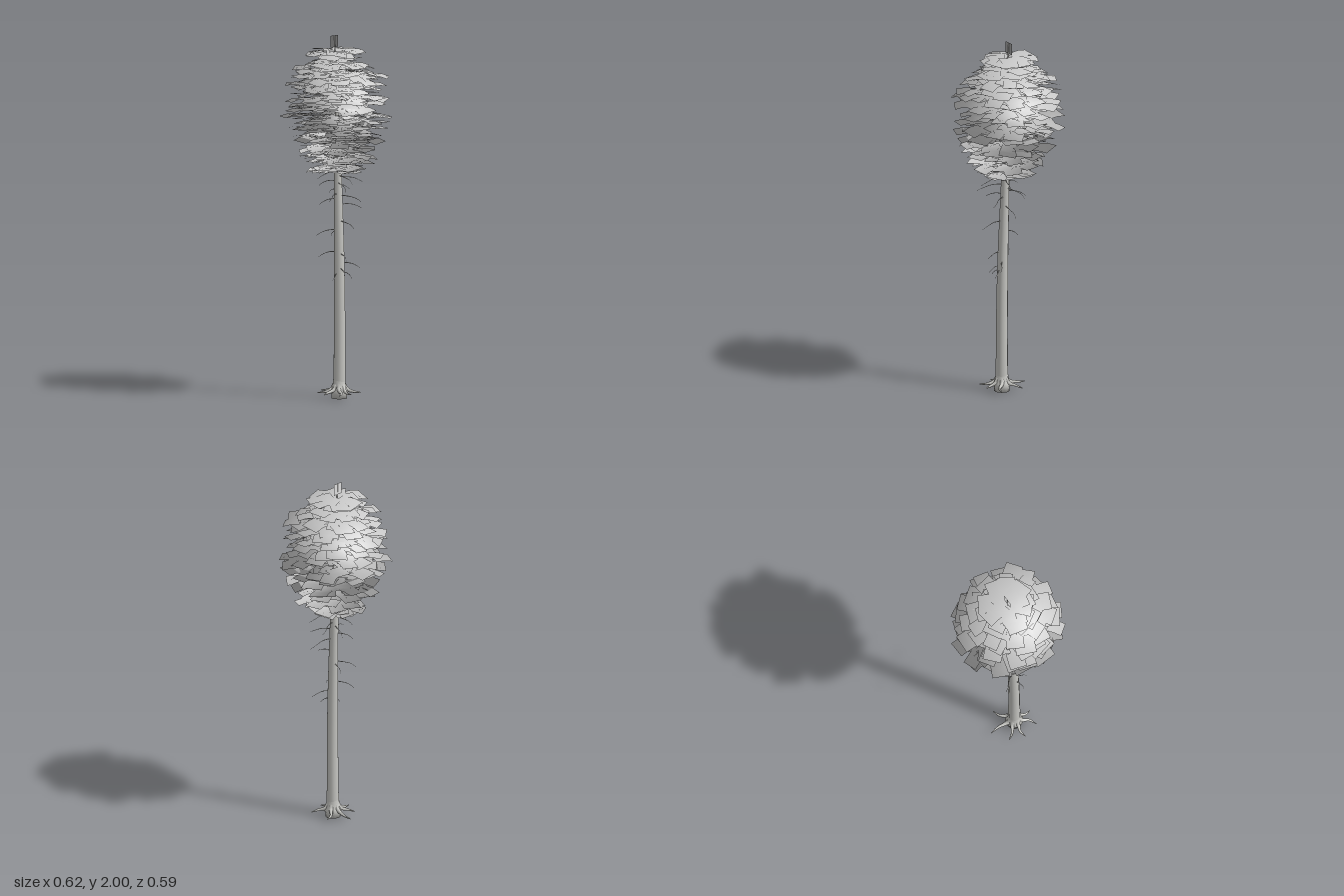
import * as THREE from 'three';
import { mergeGeometries } from 'three/addons/utils/BufferGeometryUtils.js';

const bark = new THREE.MeshStandardMaterial({ color: 0xc8c8c4 });
const foliage = new THREE.MeshStandardMaterial({ color: 0xc8c8c8, side: THREE.DoubleSide });
bark.name = 'bark';
foliage.name = 'foliage';

let seed;
const rand = (a, b) => {
  seed = (seed * 16807) % 2147483647;
  return a + (b - a) * (seed / 2147483647);
};
const V = (x, y, z) => new THREE.Vector3(x, y, z);

// Round limb along a curve, its radius interpolated from a list
function limb(points, radii, segments, sides) {
  const curve = new THREE.CatmullRomCurve3(points);
  const geo = new THREE.TubeGeometry(curve, segments, 1, sides, false);
  const pos = geo.attributes.position;
  const p = V(0, 0, 0);
  for (let i = 0; i <= segments; i++) {
    const t = (i / segments) * (radii.length - 1);
    const k = Math.min(Math.floor(t), radii.length - 2);
    const r = THREE.MathUtils.lerp(radii[k], radii[k + 1], t - k);
    const c = curve.getPointAt(i / segments);
    for (let j = 0; j <= sides; j++) {
      const n = i * (sides + 1) + j;
      p.fromBufferAttribute(pos, n).sub(c).multiplyScalar(r).add(c);
      pos.setXYZ(n, p.x, p.y, p.z);
    }
  }
  return geo;
}

// Trunk centre line, leaning slightly as it rises
const trunkLine = new THREE.CatmullRomCurve3([
  V(0.03, 0, 0.018), V(0.031, 0.4, 0.016), V(0.025, 0.8, 0.014),
  V(0.013, 1.2, 0.011), V(0.007, 1.6, 0.012), V(-0.012, 2, 0.012),
]);
const trunkAt = (y) => trunkLine.getPoint(y / 2);

// Bent leaf card with its inner edge at the origin, reaching out along +x
function leafCard(length, width) {
  const geo = new THREE.PlaneGeometry(length, width, 2, 1).rotateX(-Math.PI / 2);
  const pos = geo.attributes.position;
  for (let i = 0; i < pos.count; i++) {
    if (Math.abs(pos.getX(i)) < 1e-4) pos.setY(i, 0.006);
  }
  return geo.translate(length * 0.5, 0, 0);
}

// Foliage normals swell out from the crown's middle for soft shading
function roundNormals(geo) {
  const { position, normal } = geo.attributes;
  const p = V(0, 0, 0);
  for (let i = 0; i < position.count; i++) {
    p.fromBufferAttribute(position, i).sub(V(0, 1.5, 0)).normalize();
    normal.setXYZ(i, p.x, p.y, p.z);
  }
  return geo;
}

export function createModel() {
  seed = 90217;
  const tree = new THREE.Group();
  tree.name = 'tree';
  const add = (name, geo, mat) => {
    const mesh = new THREE.Mesh(geo, mat);
    mesh.name = name;
    tree.add(mesh);
  };

  // Trunk
  const line = [];
  for (let i = 0; i <= 10; i++) line.push(trunkAt(i * 0.2));
  add('trunk', limb(line,
    [0.036, 0.033, 0.032, 0.031, 0.029, 0.026, 0.023, 0.016, 0.01, 0.006, 0.002], 40, 12), bark);

  // Flare where the trunk meets the roots, over a short stub
  const flare = [[0, 0], [0.043, 0], [0.043, 0.025], [0.05, 0.035], [0.043, 0.05], [0.037, 0.075], [0.033, 0.11]];
  add('trunkFlare', new THREE.LatheGeometry(flare.map(([r, y]) => new THREE.Vector2(r, y)), 12)
    .translate(0.03, 0, 0.018), bark);

  // Thin spreading roots: angle, reach and sideways bend
  const roots = [[0.05, 0.1, 0.2], [0.85, 0.125, -0.3], [1.6, 0.115, 0.25],
    [2.45, 0.12, -0.2], [3.2, 0.148, 0.15], [4.2, 0.125, -0.25], [5.3, 0.12, 0.3]];
  add('roots', mergeGeometries(roots.map(([a, reach, bend]) => {
    const at = (d, y, turn = 0) =>
      V(0.03 + Math.cos(a + turn) * d, y, 0.018 + Math.sin(a + turn) * d);
    return limb([at(0.022, 0.085), at(0.04, 0.05), at(reach * 0.65, 0.036, bend * 0.6),
      at(reach, 0.029, bend * 0.1)], [0.012, 0.013, 0.009, 0.006, 0.002], 10, 6);
  })), bark);

  // Bare drooping twigs below the crown: height, angle, length
  const twigs = [
    [1.25, 3.3, 0.1], [1.25, 1.9, 0.11], [1.23, 0.2, 0.13], [1.22, 5.1, 0.13],
    [1.2, 2.8, 0.1], [1.19, 0.5, 0.14], [1.17, 4.4, 0.12], [1.15, 3.5, 0.1],
    [1.13, 1.2, 0.11], [1.12, 5.8, 0.12], [1.1, 2.4, 0.09], [1.07, 4.9, 0.14],
    [0.98, 0.1, 0.12], [0.93, 2.4, 0.11], [0.92, 3.4, 0.07], [0.81, 2.5, 0.1],
    [0.8, 0.3, 0.07], [0.75, 5.4, 0.1], [0.72, 0.4, 0.06], [0.69, 1.3, 0.06], [0.7, 5.9, 0.06],
  ];
  add('twigs', mergeGeometries(twigs.map(([y, a, len]) => {
    const c = trunkAt(y);
    const at = (d, dy, turn) => V(c.x + Math.cos(a + turn) * d, y + dy, c.z + Math.sin(a + turn) * d);
    return limb([at(0.012, 0, 0), at(0.015 + len * 0.4, -0.003, 0.08),
      at(0.015 + len * 0.75, -0.016, -0.03), at(0.015 + len, -0.034, 0.03)],
    [0.003, 0.0018, 0.0008], 6, 4);
  })), bark);

  // Crown tiers: height, reach, and shift of the middle in x and z
  const tiers = [
    [1.267, 0.165, 0.005, 0.015], [1.325, 0.215, 0, -0.005], [1.382, 0.22, 0.03, 0.01],
    [1.435, 0.285, 0.005, -0.015], [1.498, 0.285, 0.02, 0.01], [1.548, 0.3, -0.025, -0.015],
    [1.612, 0.295, -0.02, 0.005], [1.668, 0.295, 0.01, 0.01], [1.722, 0.29, -0.02, 0.005],
    [1.775, 0.285, 0.015, -0.01], [1.815, 0.24, -0.02, 0.015], [1.847, 0.18, -0.005, 0.005],
    [1.908, 0.165, -0.015, 0],
  ];
  const cards = [];
  const branches = [];
  tiers.forEach(([y, reach, dx, dz], t) => {
    const wide = reach > 0.24;
    const count = wide ? 11 : 9;
    const spread = y > 1.9 ? 0.005 : 0.009;
    for (let b = 0; b < count; b++) {
      const a = ((b + rand(-0.25, 0.25)) / count) * Math.PI * 2 + t * 2.4;
      const h = y + rand(-spread, spread);
      const r = reach * rand(0.88, 1.03);
      const lift = rand(-0.01, 0.006);
      const c = trunkAt(h);
      // Branch
      const out = (d, dy) => V(
        Math.cos(a) * d + THREE.MathUtils.lerp(c.x, dx, d / r),
        h + dy + lift * (d / r),
        -Math.sin(a) * d + THREE.MathUtils.lerp(c.z, dz, d / r));
      branches.push(limb([out(0, -0.012), out(r * 0.45, 0), out(r * 0.85, -0.004)],
        [0.003, 0.001], 4, 3));
      // Overlapping cards from the trunk to the tip
      const steps = wide ? 5 : 4;
      for (let k = 0; k < steps; k++) {
        const tip = k === steps - 1;
        const size = rand(0.085, 0.115);
        const start = tip ? r - size : (k / (steps - 1)) * (r - size);
        const yaw = a + (tip ? rand(-0.4, 0.4) : (k % 2 ? 1 : -1) * rand(0.2, 0.8));
        const card = leafCard(size, size * rand(0.85, 1.1));
        card.rotateX(rand(-0.17, 0.17)).rotateZ(rand(-0.2, 0.06)).rotateY(yaw);
        const p = out(start, rand(-0.004, 0.006));
        cards.push(card.translate(p.x, p.y, p.z));
      }
    }
  });
  // Upright leaf at the very top
  cards.push(new THREE.PlaneGeometry(0.06, 0.065).rotateY(-Math.PI / 2)
    .translate(-0.012, 1.9675, 0.013));
  add('crownBranches', mergeGeometries(branches), bark);
  add('crownLeaves', roundNormals(mergeGeometries(cards)), foliage);

  return tree;
}
